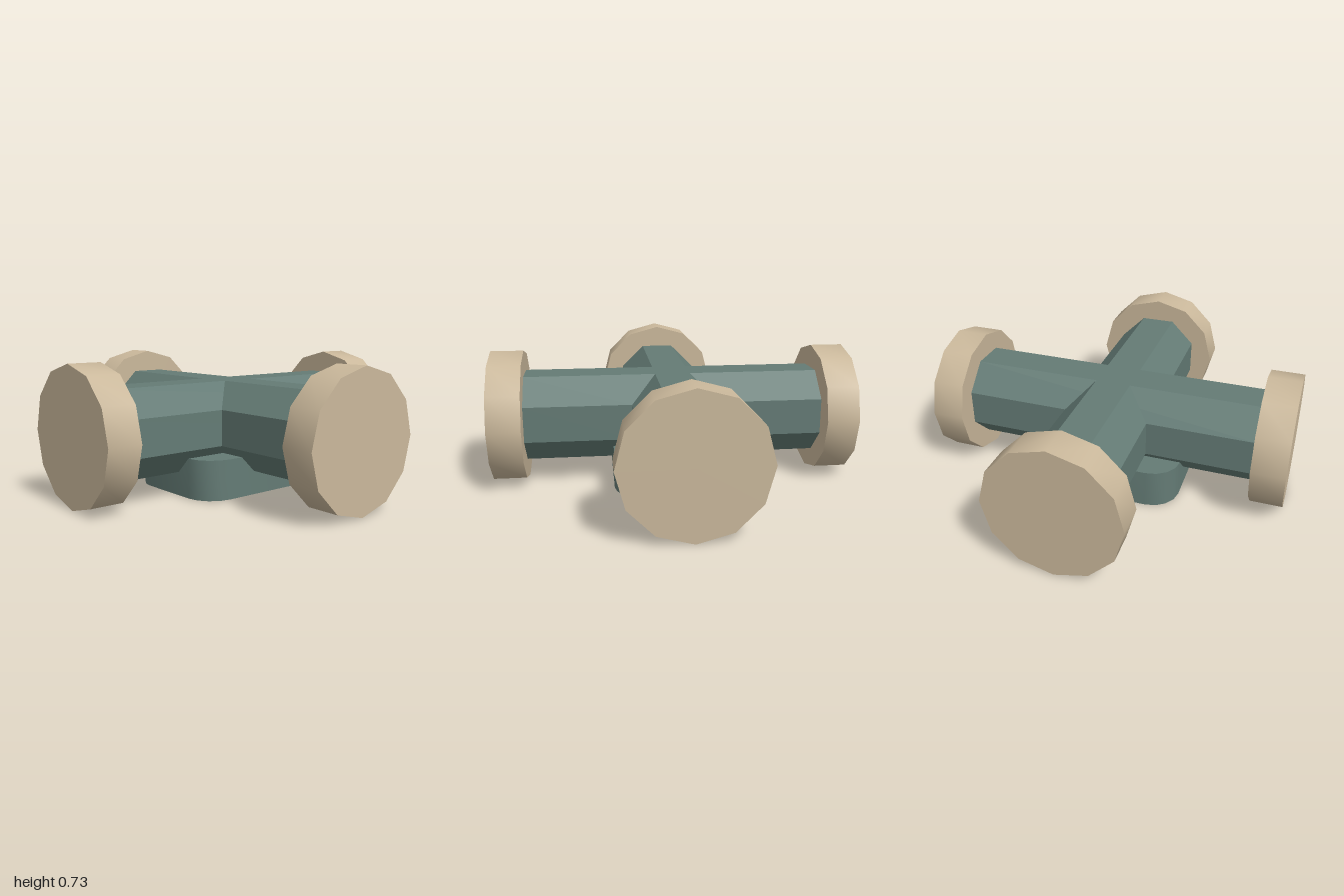
import * as THREE from 'three';
import { toCreasedNormals } from 'three/addons/utils/BufferGeometryUtils.js';

const AXIS_Y = 0.364; // height of the pipe centre line
const PIPE_APOTHEM = 0.235;
const PIPE_R = PIPE_APOTHEM / Math.cos(Math.PI / 8);
const CREASE = 0.6;

const tan = new THREE.MeshStandardMaterial({ color: 0xcab89b });
tan.name = 'tanFlange';
const teal = new THREE.MeshStandardMaterial({ color: 0x647b75 });
teal.name = 'tealPipe';

function part(name, geometry, material) {
  const mesh = new THREE.Mesh(toCreasedNormals(geometry, CREASE), material);
  mesh.name = name;
  return mesh;
}

// Octagonal open tube along z, from z0 to z1, with flats on top and sides
function octagonTube(z0, z1) {
  return new THREE.CylinderGeometry(PIPE_R, PIPE_R, z1 - z0, 8, 1, true)
    .rotateY(Math.PI / 8)
    .rotateX(Math.PI / 2)
    .translate(0, 0, (z0 + z1) / 2);
}

// Branch whose inner end is mitred onto the main pipe
function branchGeometry() {
  const g = octagonTube(0, 0.83);
  const p = g.attributes.position;
  for (let i = 0; i < p.count; i++) {
    if (p.getZ(i) < 0.4) p.setZ(i, Math.abs(p.getX(i)));
  }
  return g;
}

// Rounded rectangular foot with coarse corners
function footGeometry(w, d, r, height) {
  const s = new THREE.Shape();
  s.absarc(w - r, d - r, r, 0, Math.PI / 2);
  s.absarc(-w + r, d - r, r, Math.PI / 2, Math.PI);
  s.absarc(-w + r, -d + r, r, Math.PI, Math.PI * 1.5);
  s.absarc(w - r, -d + r, r, Math.PI * 1.5, Math.PI * 2);
  s.closePath();
  return new THREE.ExtrudeGeometry(s, { depth: height, bevelEnabled: false, curveSegments: 2 })
    .rotateX(-Math.PI / 2);
}

export function createModel() {
  const model = new THREE.Group();
  model.name = 'pipeCross';

  // Main pipe from side to side
  const mainPipe = part('mainPipe', octagonTube(-0.83, 0.83).rotateY(Math.PI / 2), teal);
  mainPipe.position.y = AXIS_Y;
  model.add(mainPipe);

  // Front and back branches
  for (const [name, turn] of [['frontBranch', 0], ['backBranch', Math.PI]]) {
    const branch = part(name, branchGeometry(), teal);
    branch.position.y = AXIS_Y;
    branch.rotation.y = turn;
    model.add(branch);
  }

  // Twelve-sided end flanges
  ['frontFlange', 'leftFlange', 'backFlange', 'rightFlange'].forEach((name, i) => {
    const g = new THREE.CylinderGeometry(0.364, 0.364, 0.18, 12)
      .rotateX(Math.PI / 2)
      .translate(0, 0, 0.91);
    const flange = part(name, g, tan);
    flange.position.y = AXIS_Y;
    flange.rotation.y = (i * Math.PI) / 2;
    model.add(flange);
  });

  // Foot under the crossing
  model.add(part('foot', footGeometry(0.42, 0.34, 0.155, 0.215), teal));

  return model;
}
